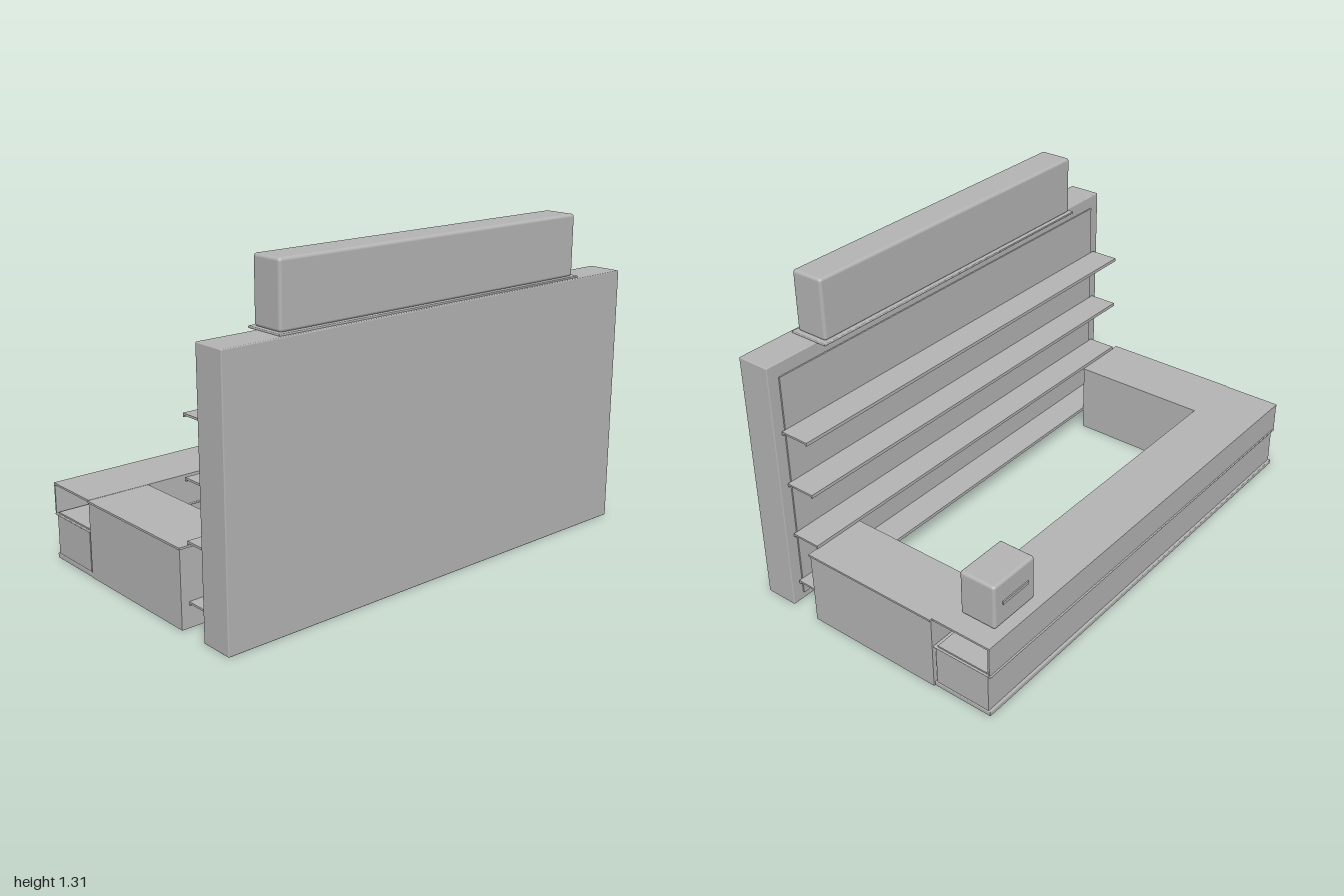
import * as THREE from 'three';
import { RoundedBoxGeometry } from 'three/addons/geometries/RoundedBoxGeometry.js';

export function createModel() {
  const group = new THREE.Group();
  group.name = 'shopCounter';
  const grey = new THREE.MeshStandardMaterial({ color: 0xb4b4b4 });
  grey.name = 'plainGrey';

  // Box given by its limits on each axis; a radius rounds its edges
  function box(name, [x0, x1], [y0, y1], [z0, z1], radius = 0) {
    const size = [x1 - x0, y1 - y0, z1 - z0];
    const geometry = radius
      ? new RoundedBoxGeometry(...size, 3, radius)
      : new THREE.BoxGeometry(...size);
    const mesh = new THREE.Mesh(geometry, grey);
    mesh.name = name;
    mesh.position.set((x0 + x1) / 2, (y0 + y1) / 2, (z0 + z1) / 2);
    group.add(mesh);
    return mesh;
  }

  // Tall wall with a thin panel on the staff side
  const wide = [-0.995, 0.99];
  box('wall', wide, [0, 1.055], [0.425, 0.565], 0.004);
  box('wallPanel', [-0.94, 0.94], [0.03, 1.0], [0.419, 0.426]);

  // Sign block on its base plate
  box('signBase', [-0.75, 0.75], [1.053, 1.062], [0.38, 0.55], 0.003);
  box('signBlock', [-0.737, 0.732], [1.06, 1.307], [0.395, 0.536], 0.012);

  // Shelves with a turned-down lip on both long edges
  for (const y of [0.1, 0.325, 0.555, 0.782]) {
    const span = [-0.962, 0.957];
    box('shelf', span, [y - 0.008, y], [0.295, 0.42]);
    box('shelfFrontLip', span, [y - 0.014, y - 0.008], [0.295, 0.301]);
    box('shelfBackLip', span, [y - 0.014, y - 0.008], [0.413, 0.42]);
  }

  // Side cabinets, mirrored
  for (const side of [-1, 1]) {
    const across = (a, b) => (side > 0 ? [a, b] : [-b, -a]);
    box('sideCabinet', across(0.735, 0.995), [0, 0.302], [-0.3, 0.295]);
    box('sideCabinetTop', across(0.733, 1.0), [0.302, 0.31], [-0.3, 0.3]);
  }

  // Serving counter: plinth, closed lower body and ledge
  box('counterPlinth', wide, [0, 0.02], [-0.557, -0.301], 0.003);
  box('counterBody', [-0.992, 0.987], [0.02, 0.178], [-0.547, -0.31]);
  box('counterLedge', wide, [0.178, 0.187], [-0.561, -0.301], 0.003);
  box('displayFloor', [-0.99, 0.985], [0.187, 0.193], [-0.54, -0.318]);

  // Display case, open at both ends
  box('displayFrontPanel', wide, [0.187, 0.304], [-0.557, -0.55]);
  box('displayBackPanel', [-0.735, 0.732], [0.187, 0.304], [-0.306, -0.301]);
  box('counterTop', wide, [0.303, 0.311], [-0.559, -0.3]);

  // Till with a raised bar facing the customer
  box('till', [0.68, 0.905], [0.311, 0.497], [-0.514, -0.36], 0.012);
  box('tillBar', [0.72, 0.862], [0.4, 0.412], [-0.519, -0.512]);

  return group;
}
